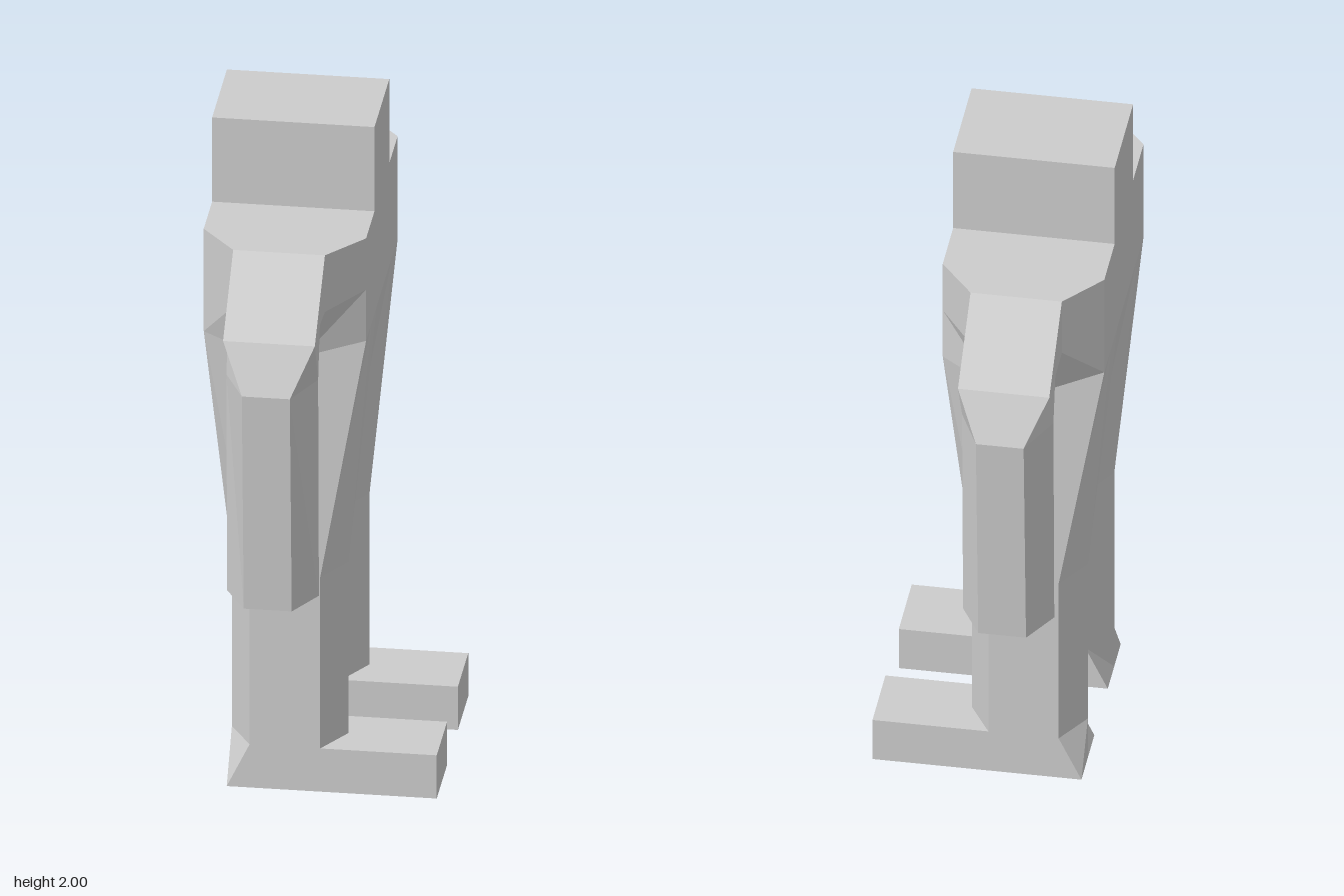
import * as THREE from 'three';

const CX = -0.1; // x of the body's mid-plane

// Closed faceted solid through a list of rings (arrays of [x, y, z]) with equal point counts.
function loft(rings) {
  const tris = [];
  const n = rings[0].length;
  for (let i = 0; i < rings.length - 1; i++) {
    const p = rings[i], q = rings[i + 1];
    for (let j = 0; j < n; j++) {
      const k = (j + 1) % n;
      tris.push([p[j], p[k], q[k]], [p[j], q[k], q[j]]);
    }
  }
  const last = rings[rings.length - 1];
  for (let j = 1; j < n - 1; j++) {
    tris.push([rings[0][0], rings[0][j + 1], rings[0][j]], [last[0], last[j], last[j + 1]]);
  }
  // Signed volume tells whether the faces point outward
  let volume = 0;
  const solid = [];
  for (const t of tris) {
    const [a, b, c] = t.map((v) => new THREE.Vector3(...v));
    const area = b.clone().sub(a).cross(c.clone().sub(a)).length();
    if (area < 1e-7) continue;
    volume += a.dot(b.clone().cross(c));
    solid.push(t);
  }
  const pos = solid.flatMap(([a, b, c]) => (volume > 0 ? [a, b, c] : [a, c, b])).flat();
  const geo = new THREE.BufferGeometry();
  geo.setAttribute('position', new THREE.Float32BufferAttribute(pos, 3));
  geo.computeVertexNormals();
  return geo;
}

export function createModel() {
  const model = new THREE.Group();
  model.name = 'blockFigure';
  const grey = new THREE.MeshStandardMaterial({ color: 0xcccccc, flatShading: true });
  grey.name = 'grey';

  const add = (name, geo) => {
    const mesh = new THREE.Mesh(geo, grey);
    mesh.name = name;
    model.add(mesh);
    return mesh;
  };

  // Head and chest blocks
  add('head', new THREE.BoxGeometry(0.46, 0.265, 0.31)).position.set(CX, 1.8675, 0);
  add('chest', new THREE.BoxGeometry(0.46, 0.32, 0.66)).position.set(CX, 1.577, 0);

  // Waist: flat at the chest, folding into the ridges of the legs below
  const waist = [[-0.33, 0.1], [-0.222, 0.165], [-0.113, 0.1], [0.113, 0.1], [0.222, 0.165], [0.33, 0.1]];
  add('waist', loft(waist.map(([z, w]) => [
    [CX - 0.23, 1.417, z], [CX + 0.23, 1.417, z], [CX + w, 0.67, z], [CX - w, 0.67, z],
  ])));

  for (const s of [1, -1]) {
    const side = s > 0 ? 'left' : 'right';

    // Six-sided ring from three [half width, y, z] pairs: outer, middle, inner
    const ring = (outer, mid, inner) => [
      [outer, -1], [outer, 1], [mid, 1], [inner, 1], [inner, -1], [mid, -1],
    ].map(([[w, y, z], d]) => [CX + d * w, y, s * z]);

    // Shoulder, bent elbow and hanging arm
    const armpit = [0.068, 1.417, 0.453];
    const shoulderEnd = ring([0.13, 1.737, 0.453], [0.13, 1.56, 0.453], armpit);
    add(side + 'Shoulder', loft([
      ring([0.23, 1.737, 0.33], [0.23, 1.577, 0.33], [0.23, 1.417, 0.33]),
      shoulderEnd,
    ]));
    add(side + 'Arm', loft([
      shoulderEnd,
      ring([0.13, 1.555, 0.665], [0.13, 1.57, 0.56], armpit),
      ring([0.068, 1.417, 0.73], [0.13, 1.417, 0.595], armpit),
      ring([0.068, 0.735, 0.69], [0.13, 0.735, 0.58], [0.068, 0.735, 0.47]),
    ]));

    // Leg with a ridge down front and back
    add(side + 'Leg', loft([0.67, 0.135].map((y) =>
      ring([0.1, y, 0.33], [0.165, y, 0.222], [0.1, y, 0.113]))));

    // Long foot with a pinched heel
    add(side + 'Foot', loft([[0.113, -0.2], [0.222, -0.265], [0.33, -0.2]].map(([z, heel]) => [
      [-0.265, 0, s * z], [0.33, 0, s * z], [0.33, 0.135, s * z], [heel, 0.135, s * z],
    ])));
  }
  return model;
}
